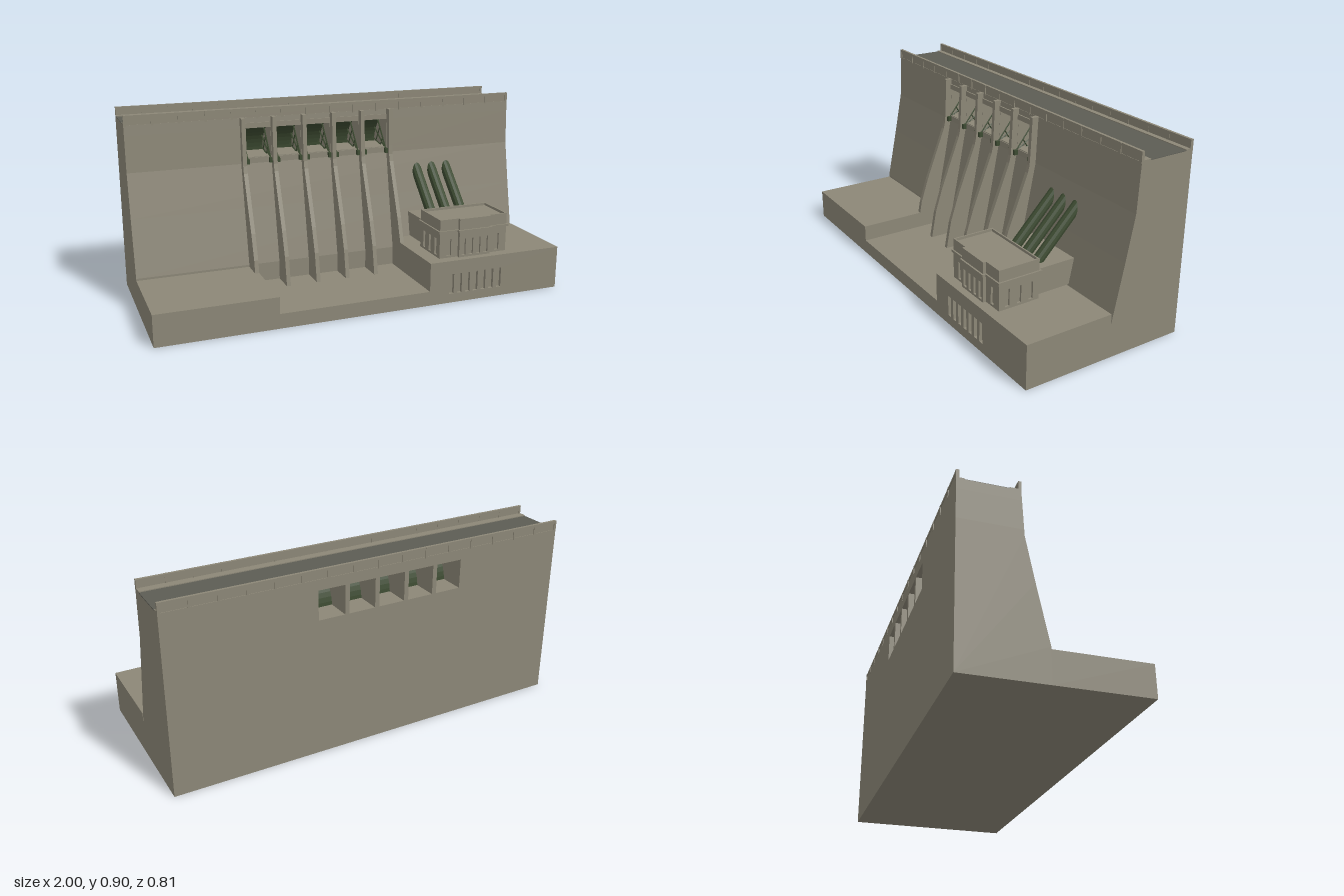
import * as THREE from 'three';

export function createModel() {
  const root = new THREE.Group();
  const material = (name, color) => {
    const m = new THREE.MeshStandardMaterial({ color, flatShading: true });
    m.name = name;
    return m;
  };
  const concrete = material('concrete', 0x8c8777);
  const asphalt = material('asphalt', 0x5c5c54);
  const green = material('green steel', 0x3c4a31);
  green.side = THREE.DoubleSide;

  const add = (name, geometry, mat = concrete) => {
    const mesh = new THREE.Mesh(geometry, mat);
    mesh.name = name;
    root.add(mesh);
    return mesh;
  };
  // Box given by its limits
  const box = (name, x0, x1, y0, y1, z0, z1, mat) =>
    add(name, new THREE.BoxGeometry(x1 - x0, y1 - y0, z1 - z0)
      .translate((x0 + x1) / 2, (y0 + y1) / 2, (z0 + z1) / 2), mat);
  // Profile of [z, y] points extruded from x0 to x1
  const extrudeX = (name, points, x0, x1, mat) => {
    const shape = new THREE.Shape(points.map(p => new THREE.Vector2(...p)));
    const g = new THREE.ExtrudeGeometry(shape, { depth: x1 - x0, bevelEnabled: false });
    return add(name, g.rotateY(-Math.PI / 2).translate(x1, 0, 0), mat);
  };
  // Upright slab with rectangular holes [u0, u1, v0, v1], its back on local z = 0
  const slab = (name, u0, u1, v0, v1, depth, holes) => {
    const rect = (Type, a, b, c, d) => new Type([[a, c], [b, c], [b, d], [a, d]].map(p => new THREE.Vector2(...p)));
    const shape = rect(THREE.Shape, u0, u1, v0, v1);
    holes.forEach(h => shape.holes.push(rect(THREE.Path, ...h)));
    return add(name, new THREE.ExtrudeGeometry(shape, { depth, bevelEnabled: false }));
  };
  // Steel bar between two points
  const bar = (name, a, b, radius, sides) => {
    const from = new THREE.Vector3(...a), dir = new THREE.Vector3(...b).sub(from);
    const mesh = add(name, new THREE.CylinderGeometry(radius, radius, dir.length(), sides), green);
    mesh.position.copy(from).addScaledVector(dir, 0.5);
    mesh.quaternion.setFromUnitVectors(new THREE.Vector3(0, 1, 0), dir.normalize());
  };

  // Dam wall: solid below and above the row of gate openings
  const back = -0.405, sill = 0.67, lintel = 0.81;
  const pierX = [0, 1, 2, 3, 4, 5].map(i => -0.45 + i * 0.152);
  const frontAt = y => -0.12 - (y - 0.64) * 0.01 / 0.225;
  extrudeX('lowerWall', [[back, 0], [-0.025, 0], [-0.025, 0.16], [-0.08, 0.43], [-0.12, 0.64],
    [frontAt(sill), sill], [back, sill]], -1, 1);
  extrudeX('upperWall', [[back, lintel], [frontAt(lintel), lintel], [-0.13, 0.86], [back, 0.86]], -1, 1);
  const middle = [[back, sill], [frontAt(sill), sill], [frontAt(lintel), lintel], [back, lintel]];
  extrudeX('wallEnd', middle, -1, pierX[0] + 0.011);
  extrudeX('wallEnd', middle, pierX[5] - 0.011, 1);
  for (let i = 1; i < 5; i++) extrudeX('gateDivider', middle, pierX[i] - 0.011, pierX[i] + 0.011);

  // Road, kerbs and parapets along the crest
  box('road', -1, 1, 0.858, 0.862, -0.37, -0.178, asphalt);
  box('frontKerb', -1, 1, 0.858, 0.866, -0.178, -0.135);
  box('backKerb', -1, 1, 0.858, 0.866, -0.395, -0.37);
  for (const [outer, dir] of [[-0.129, -1], [back, 1]]) {
    const zs = (a, b) => [outer + dir * a, outer + dir * b].sort((p, q) => p - q);
    box('parapetWall', -1, 1, 0.86, 0.9, ...zs(0.003, 0.011));
    box('parapetRail', -1, 1, 0.892, 0.905, ...zs(0, 0.013));
    for (let i = 0; i <= 16; i++) {
      const x = -0.994 + i * 0.12425;
      box('parapetPost', x - 0.006, x + 0.006, 0.853, 0.905, ...zs(-0.001, 0.013));
    }
  }

  // Stepped ground in front of the wall
  box('leftBank', -1, -0.44, 0, 0.15, -0.025, 0.405);
  box('spillwayApron', -0.44, 0.3, 0, 0.07, -0.025, 0.405);
  box('stationBank', 0.3, 1, 0, 0.21, -0.025, 0.39);
  const slots = [];
  for (let i = 0; i < 7; i++) slots.push([0.402 + i * 0.0427, 0.426 + i * 0.0427, 0.045, 0.143]);
  slab('outletWall', 0.3, 1, 0, 0.21, 0.015, slots).position.z = 0.39;

  // Spillway piers
  for (const x of pierX) {
    extrudeX('pier', [[-0.14, 0.862], [-0.097, 0.862], [-0.089, 0.68], [-0.086, 0.635], [-0.078, 0.6],
      [0.027, 0.33], [0.066, 0.21], [0.092, 0.07], [-0.03, 0.07], [-0.125, 0.6]], x - 0.01, x + 0.01);
  }

  // Curved gates with their arms and pivots, between the piers
  const pivotY = 0.655, pivotZ = -0.106, radius = 0.18;
  for (let i = 0; i < 5; i++) {
    const x0 = pierX[i] + 0.011, x1 = pierX[i + 1] - 0.011;
    const arc = [], inner = [];
    for (let k = 0; k <= 8; k++) {
      const a = 0.05 + k * 0.125;
      arc.push([pivotZ - radius * Math.cos(a), pivotY + radius * Math.sin(a)]);
      inner.unshift([pivotZ - (radius - 0.006) * Math.cos(a), pivotY + (radius - 0.006) * Math.sin(a)]);
    }
    extrudeX('gateSkin', arc.concat(inner), x0, x1, green);
    for (const x of [x0 + 0.008, x1 - 0.008]) {
      for (const a of [0.2, 0.55, 0.9]) {
        bar('gateArm', [x, pivotY, pivotZ],
          [x, pivotY + 0.177 * Math.sin(a), pivotZ - 0.177 * Math.cos(a)], 0.004, 4);
      }
      for (const r of [0.07, 0.13]) {
        bar('gateBrace', [x, pivotY + r * Math.sin(0.2), pivotZ - r * Math.cos(0.2)],
          [x, pivotY + r * Math.sin(0.9), pivotZ - r * Math.cos(0.9)], 0.003, 4);
      }
      box('gatePivot', x - 0.007, x + 0.007, 0.64, 0.664, -0.125, -0.097, green);
    }
    box('gateBeam', x0, x1, 0.81, 0.835, -0.135, -0.122);
    box('gateSill', x0, x1, 0.64, 0.667, -0.135, -0.116);
  }

  // Power station: core, windowed walls, front bay, cornice and roof
  const low = 0.21, eaves = 0.335;
  box('stationCore', 0.38, 0.72, low, eaves, 0.15, 0.345);
  const sideWindows = [0.193, 0.253, 0.312].map(z => [z - 0.011, z + 0.011, 0.22, 0.302]);
  for (const [x, dir] of [[0.72, 1], [0.38, -1]]) {
    const holes = sideWindows.map(([a, b, c, d]) => dir > 0 ? [-b, -a, c, d] : [a, b, c, d]);
    const wall = slab('stationSideWall', dir > 0 ? -0.355 : 0.15, dir > 0 ? -0.15 : 0.355, low, eaves, 0.01, holes);
    wall.rotation.y = dir * Math.PI / 2;
    wall.position.x = x;
  }
  const window = x => [x - 0.011, x + 0.011, 0.22, 0.302];
  slab('stationFrontWall', 0.38, 0.72, low, eaves, 0.01, [0.42, 0.68].map(window)).position.z = 0.345;
  box('bayCore', 0.467, 0.633, low, eaves, 0.35, 0.361);
  slab('bayFront', 0.467, 0.633, low, eaves, 0.01,
    [0.49, 0.53, 0.57, 0.61].map(window)).position.z = 0.361;
  box('cornice', 0.362, 0.738, 0.335, 0.346, 0.141, 0.362);
  box('bayCornice', 0.46, 0.64, 0.335, 0.346, 0.35, 0.378);
  box('roofBlock', 0.37, 0.73, 0.346, 0.388, 0.15, 0.355);
  box('bayRoof', 0.467, 0.633, 0.346, 0.4, 0.35, 0.37);
  box('roofRimBack', 0.37, 0.73, 0.386, 0.4, 0.15, 0.157);
  box('roofRimFront', 0.37, 0.73, 0.386, 0.4, 0.348, 0.355);
  box('roofRimSide', 0.37, 0.377, 0.386, 0.4, 0.15, 0.355);
  box('roofRimSide', 0.723, 0.73, 0.386, 0.4, 0.15, 0.355);

  // Penstock hall and the three sloping pipes
  extrudeX('penstockHall', [[-0.04, low], [0.15, low], [0.15, 0.332], [-0.048, 0.332], [-0.06, 0.332]], 0.4, 0.7);
  for (const x of [0.466, 0.55, 0.634]) bar('penstock', [x, 0.29, 0.132], [x, 0.572, -0.142], 0.026, 12);

  return root;
}
